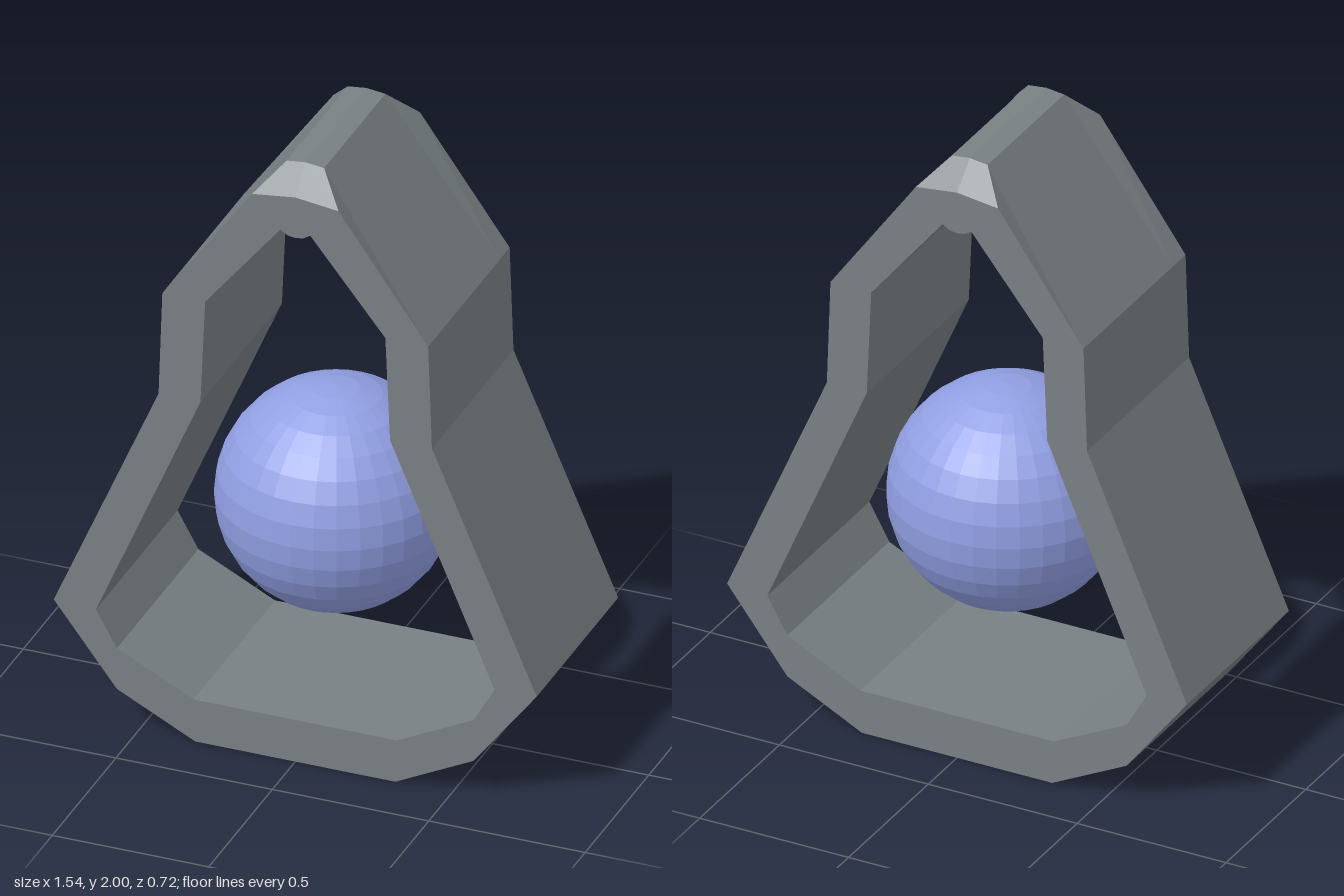
import * as THREE from 'three';

const HALF_DEPTH = 0.32; // frame front and back faces
const RIDGE_HALF = 0.24; // where the bevelled ends meet the top ridge

// Mirrors a right-hand half profile (bottom to top, ending on x = 0) into a closed loop
function mirrored(half) {
  const left = half.filter(([x]) => x > 0).reverse().map(([x, y]) => [-x, y]);
  return [...half, ...left].map(([x, y]) => new THREE.Vector2(x, y));
}

function frameGeometry() {
  const outer = mirrored([
    [0.32, 0], [0.57, 0.125], [0.772, 0.387], [0.437, 1.16],
    [0.425, 1.505], [0.138, 1.905], [0, 1.922],
  ]);
  const inner = mirrored([
    [0.325, 0.142], [0.57, 0.264], [0.637, 0.382], [0.303, 1.16],
    [0.288, 1.505], [0.048, 1.802], [0.025, 1.788], [0, 1.784],
  ]);
  const shape = new THREE.Shape(outer);
  shape.holes.push(new THREE.Path(inner));
  const geo = new THREE.ExtrudeGeometry(shape, {
    depth: HALF_DEPTH * 2, steps: 4, bevelEnabled: false,
  });
  geo.translate(0, 0, -HALF_DEPTH);

  // Raise the crown between the ends so that both ends of the top slope back
  const p = geo.attributes.position;
  for (let i = 0; i < p.count; i++) {
    const x = p.getX(i), y = p.getY(i), z = p.getZ(i);
    if (Math.abs(z) > HALF_DEPTH - 0.01) continue;
    if (Math.abs(z) > 0.1) p.setZ(i, Math.sign(z) * RIDGE_HALF);
    if (y > 1.915) p.setY(i, 2);
    else if (y > 1.9) p.setXY(i, Math.sign(x) * 0.06, 1.993);
  }
  geo.computeVertexNormals();
  return geo;
}

export function createModel() {
  const group = new THREE.Group();
  group.name = 'framedBall';

  const grey = new THREE.MeshStandardMaterial({ color: 0x788083, flatShading: true });
  grey.name = 'slate grey';
  const blue = new THREE.MeshStandardMaterial({ color: 0x919fe3, flatShading: true });
  blue.name = 'periwinkle blue';

  // Bell-shaped open frame
  const frame = new THREE.Mesh(frameGeometry(), grey);
  frame.name = 'frame';
  group.add(frame);

  // Ball floating in the opening
  const ball = new THREE.Mesh(new THREE.SphereGeometry(0.362, 32, 16), blue);
  ball.name = 'ball';
  ball.position.y = 0.753;
  group.add(ball);

  return group;
}
